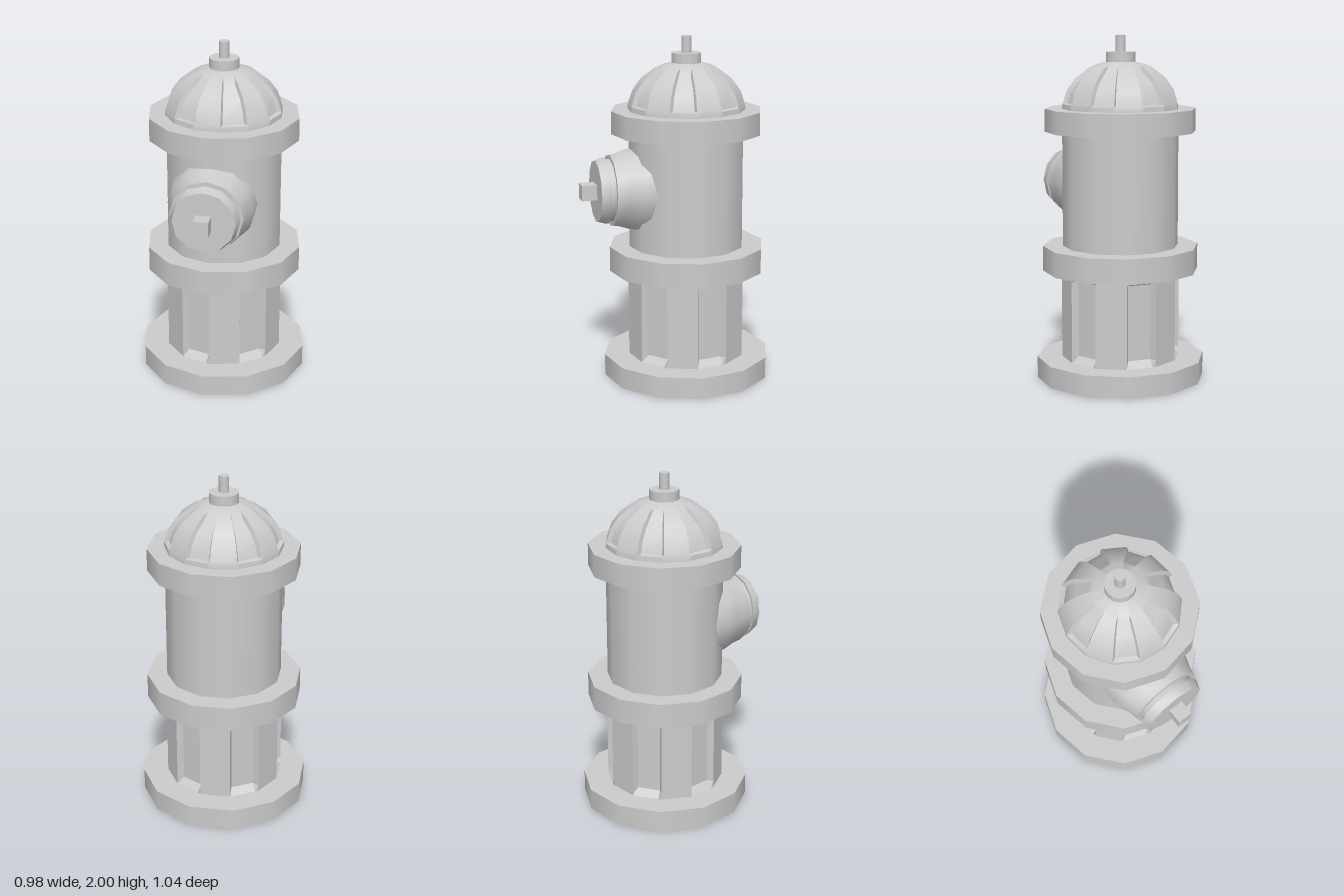
import * as THREE from 'three';
import { toCreasedNormals } from 'three/addons/utils/BufferGeometryUtils.js';

const material = new THREE.MeshStandardMaterial({ color: 0xcccccc });
const AXIS_Z = -0.034;

function part(name, geometry, parent) {
  const mesh = new THREE.Mesh(geometry, material);
  mesh.name = name;
  parent.add(mesh);
  return mesh;
}

// Upright cylinder between two heights
function drum(name, radius, y0, y1, sides, parent) {
  const mesh = part(name, new THREE.CylinderGeometry(radius, radius, y1 - y0, sides), parent);
  mesh.position.y = (y0 + y1) / 2;
  return mesh;
}

// Polygonal shell whose every second panel is sunk.
// Profile rows: [radius, height, sink inward, sink downward]
function panelledShell(profile, sides, phase, margin, crease) {
  const columns = [0, margin, 1 - margin, 1];
  const positions = [];
  for (let i = 0; i < sides; i++) {
    const a0 = phase + (i / sides) * Math.PI * 2;
    const a1 = a0 + (Math.PI * 2) / sides;
    const mid = (a0 + a1) / 2;
    const grid = profile.map(([r, y, sinkIn, sinkDown]) => columns.map((t, c) => {
      const sunk = i % 2 === 0 && (c === 1 || c === 2) ? 1 : 0;
      const x = r * THREE.MathUtils.lerp(Math.cos(a0), Math.cos(a1), t);
      const z = r * THREE.MathUtils.lerp(Math.sin(a0), Math.sin(a1), t);
      return [
        x - sunk * sinkIn * Math.cos(mid),
        y - sunk * sinkDown,
        z - sunk * sinkIn * Math.sin(mid),
      ];
    }));
    for (let j = 0; j < profile.length - 1; j++) {
      for (let c = 0; c < 3; c++) {
        const a = grid[j][c], b = grid[j][c + 1];
        const d = grid[j + 1][c], e = grid[j + 1][c + 1];
        positions.push(...b, ...a, ...d, ...b, ...d, ...e);
      }
    }
  }
  const geometry = new THREE.BufferGeometry();
  geometry.setAttribute('position', new THREE.Float32BufferAttribute(positions, 3));
  geometry.computeVertexNormals();
  return toCreasedNormals(geometry, crease);
}

// Revolved profile of [radius, distance], pointing along +z
function turned(points, sides) {
  const lathe = new THREE.LatheGeometry(points.map(([r, s]) => new THREE.Vector2(r, s)), sides);
  lathe.rotateX(Math.PI / 2);
  return toCreasedNormals(lathe, 0.6);
}

export function createModel() {
  const model = new THREE.Group();
  model.name = 'fireHydrant';

  const body = new THREE.Group();
  body.name = 'body';
  body.position.z = AXIS_Z;
  model.add(body);

  // Foot, flanges and barrel
  drum('baseFlange', 0.491, 0, 0.125, 12, body);
  drum('middleFlange', 0.454, 0.64, 0.785, 12, body);
  drum('barrel', 0.337, 0.785, 1.45, 12, body);
  drum('topFlange', 0.437, 1.45, 1.582, 12, body);

  // Lower column with sunk panels
  part('lowerColumn', panelledShell([
    [0.345, 0.125, 0, 0],
    [0.345, 0.165, 0.035, 0],
    [0.345, 0.602, 0.035, 0],
    [0.345, 0.64, 0, 0],
  ], 12, 0, 0.12, 0.4), body);

  // Dome with sunk panels
  part('dome', panelledShell([
    [0.338, 1.582, 0, 0],
    [0.336, 1.61, 0, 0],
    [0.333, 1.618, 0.022, 0.003],
    [0.309, 1.69, 0.02, 0.008],
    [0.26, 1.757, 0.015, 0.015],
    [0.185, 1.815, 0.008, 0.02],
    [0.147, 1.832, 0, 0],
    [0.08, 1.85, 0, 0],
  ], 14, THREE.MathUtils.degToRad(-28.3), 0.1, 0.65), body);

  // Operating nut on the dome
  drum('topNut', 0.085, 1.84, 1.905, 14, body);
  drum('topStem', 0.029, 1.905, 2, 12, body);

  // Side outlet
  const outlet = new THREE.Group();
  outlet.name = 'outlet';
  outlet.position.set(-0.017, 1.127, 0.012);
  outlet.rotation.y = THREE.MathUtils.degToRad(34.5);
  body.add(outlet);

  part('outletFlare', turned([
    [0.255, 0.12], [0.252, 0.29], [0.238, 0.34], [0.219, 0.395], [0.208, 0.45], [0, 0.45],
  ], 12), outlet);
  part('outletNeck', turned([[0.183, 0.44], [0.183, 0.49]], 12), outlet);
  part('outletCap', turned([
    [0, 0.481], [0.197, 0.481], [0.178, 0.534], [0, 0.534],
  ], 12), outlet);
  const nut = part('outletNut', new THREE.BoxGeometry(0.088, 0.088, 0.1), outlet);
  nut.position.z = 0.572;

  return model;
}
